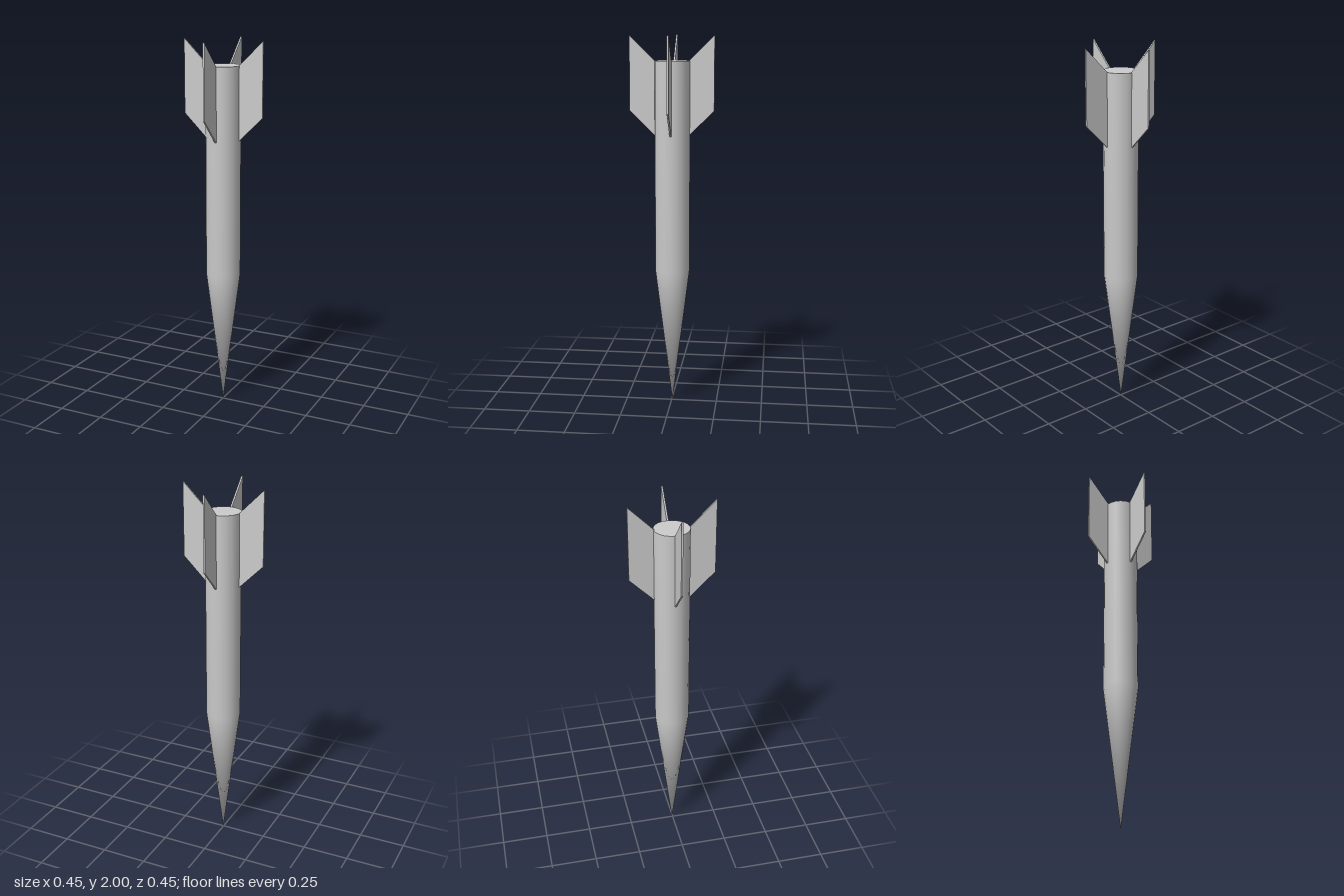
import * as THREE from 'three';
import { mergeVertices } from 'three/addons/utils/BufferGeometryUtils.js';

const RADIUS = 0.093;
const SIDES = 20;
const CENTER_Z = -0.004;

export function createModel() {
  const group = new THREE.Group();
  const material = new THREE.MeshStandardMaterial({ color: 0xcccccc });
  const add = (name, geometry) => {
    const mesh = new THREE.Mesh(geometry, material);
    mesh.name = name;
    group.add(mesh);
    return mesh;
  };

  // Pointed nose and straight body as one smooth shell, tip on the ground
  const profile = [[0, 0], [RADIUS, 0.75], [RADIUS, 1.87]].map(([x, y]) => new THREE.Vector2(x, y));
  let shell = new THREE.LatheGeometry(profile, SIDES);
  shell.deleteAttribute('uv');
  shell.deleteAttribute('normal');
  shell = mergeVertices(shell, 1e-5);
  shell.computeVertexNormals();
  add('bodyAndNose', shell).position.z = CENTER_Z;

  // Flat cap closing the tail end
  const cap = new THREE.CircleGeometry(RADIUS, SIDES).rotateX(-Math.PI / 2);
  add('tailCap', cap).position.set(0, 1.87, CENTER_Z);

  // Four thin swept fins around the tail
  const outline = new THREE.Shape([[0.09, 1.48], [0.223, 1.61], [0.223, 2], [0.09, 1.87]]
    .map(([x, y]) => new THREE.Vector2(x, y)));
  const thickness = 0.009;
  const fin = new THREE.ExtrudeGeometry(outline, { depth: thickness, bevelEnabled: false });
  fin.translate(0, 0, -thickness / 2);
  ['leftFin', 'backFin', 'rightFin', 'frontFin'].forEach((name, i) => {
    const mesh = add(name, fin);
    mesh.rotation.y = i * Math.PI / 2;
    mesh.position.z = i % 2 ? -0.001 : CENTER_Z;
  });

  return group;
}
